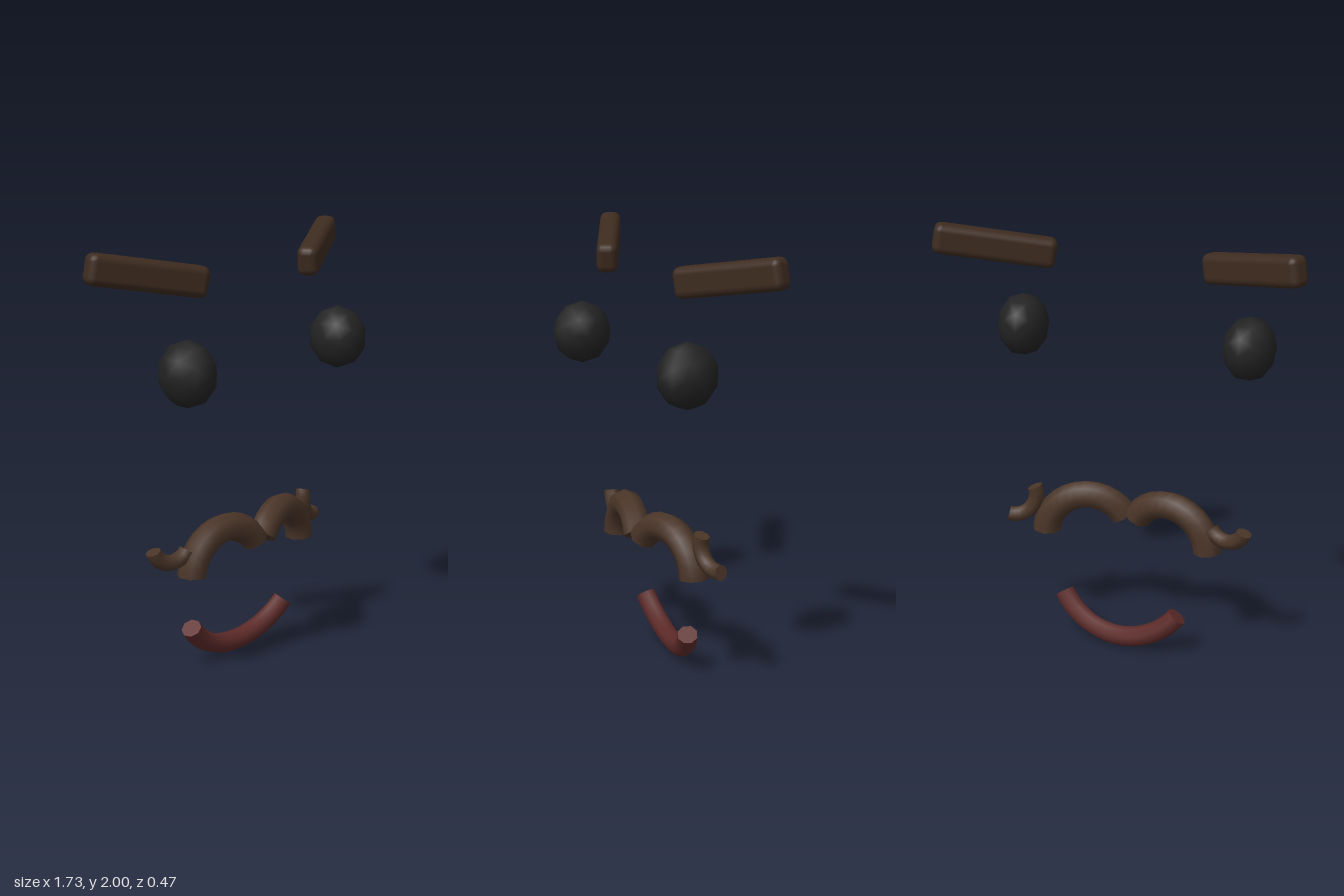
import * as THREE from 'three';
import { RoundedBoxGeometry } from 'three/addons/geometries/RoundedBoxGeometry.js';
import { mergeGeometries } from 'three/addons/utils/BufferGeometryUtils.js';

const material = (color) => new THREE.MeshStandardMaterial({ color });

// Closed bent tube: part of a torus from one angle to another (degrees), with flat end caps
function bentTube(radius, tube, from, to, segments) {
  const arc = THREE.MathUtils.degToRad(to - from);
  const body = new THREE.TorusGeometry(radius, tube, 8, segments, arc);
  const startCap = new THREE.CircleGeometry(tube, 8).rotateX(Math.PI / 2).translate(radius, 0, 0);
  const endCap = new THREE.CircleGeometry(tube, 8).rotateX(-Math.PI / 2).translate(radius, 0, 0).rotateZ(arc);
  return mergeGeometries([body, startCap, endCap]).rotateZ(THREE.MathUtils.degToRad(from));
}

export function createModel() {
  const model = new THREE.Group();
  const browMaterial = material(0x3d2b1f);
  const eyeMaterial = material(0x222222);
  const hairMaterial = material(0x4a3528);
  const lipMaterial = material(0x5c2a28);

  function add(name, geometry, mat, position, tilt = 0, yaw = 0, roll = 0) {
    const mesh = new THREE.Mesh(geometry, mat);
    mesh.name = name;
    mesh.position.set(...position);
    mesh.rotation.set(tilt, yaw, roll, 'YXZ');
    model.add(mesh);
  }

  for (const [side, s] of [['left', 1], ['right', -1]]) {
    // Slanted eyebrow, swept back around the face
    add(side + 'Eyebrow', new RoundedBoxGeometry(0.56, 0.14, 0.1, 2, 0.035), browMaterial,
      [s * 0.605, 1.89, -0.073], 0, s * 0.47, s * 0.172);

    // Oval eye
    add(side + 'Eye', new THREE.IcosahedronGeometry(1, 1).scale(0.12, 0.15, 0.143), eyeMaterial,
      [s * 0.547, 1.475, 0.098], 0, s * 0.1);

    // Moustache arch
    const [from, to] = s > 0 ? [4, 147] : [33, 176];
    add(side + 'Moustache', bentTube(0.205, 0.067, from, to, 12), hairMaterial,
      [s * 0.2, 0.488, 0.022], 0, s * 0.18);
  }

  // Curled moustache tips, turned differently on each side
  add('leftMoustacheTip', bentTube(0.108, 0.037, 159, 283, 8), hairMaterial, [0.55, 0.68, -0.055], 0, 0.27);
  add('rightMoustacheTip', bentTube(0.102, 0.037, 200, 325, 8), hairMaterial, [-0.5, 0.687, -0.048], 0, -0.27);

  // Smiling mouth, leaning back at the bottom and slightly turned
  add('mouth', bentTube(0.37, 0.048, 216, 324, 16), lipMaterial, [0, 0.408, -0.02], 0.26, -0.13);

  return model;
}
